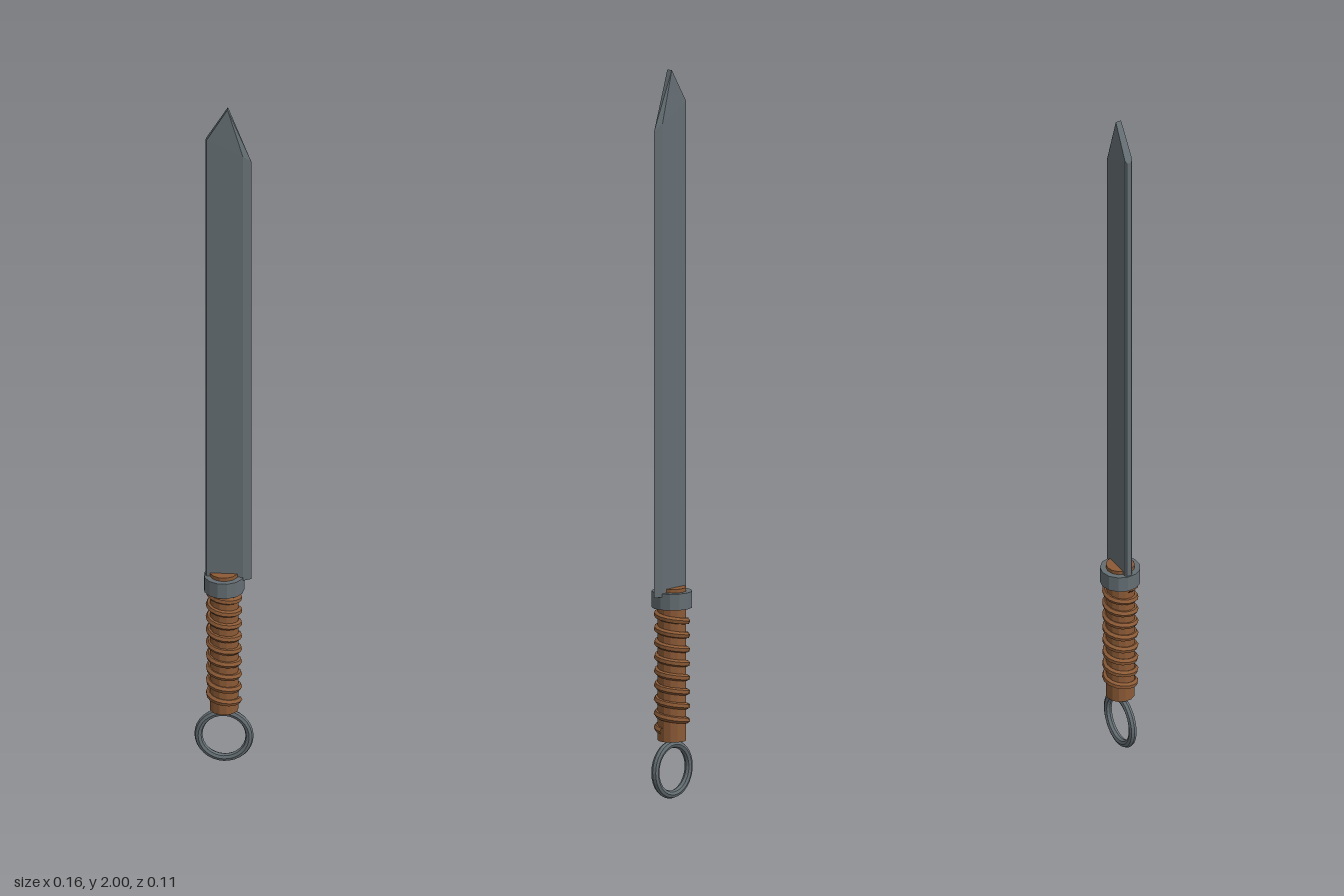
import * as THREE from 'three';
import { ConvexGeometry } from 'three/addons/geometries/ConvexGeometry.js';

export function createModel() {
  const group = new THREE.Group();
  const steel = new THREE.MeshStandardMaterial({ color: 0x646e73, flatShading: true });
  const leather = new THREE.MeshStandardMaterial({ color: 0x8b5a35, flatShading: true });
  const add = (name, geometry, material, y = 0) => {
    const mesh = new THREE.Mesh(geometry, material);
    mesh.name = name;
    mesh.position.y = y;
    group.add(mesh);
    return mesh;
  };

  // Single-edged blade: chamfered spine on -x, ground edge on +x, broad tip
  const bottom = 0.56;
  const points = [];
  const column = (x, top, z) => {
    for (const side of [-1, 1]) {
      points.push(new THREE.Vector3(x, bottom, side * z), new THREE.Vector3(x, top, side * z));
    }
  };
  column(-0.05, 1.9, 0.007);
  column(-0.046, 1.907, 0.011);
  column(0.052, 1.86, 0.011);
  for (const z of [-0.008, 0.008]) points.push(new THREE.Vector3(0.01, 2, z));
  points.push(new THREE.Vector3(0.074, bottom, 0), new THREE.Vector3(0.074, 1.84, 0));
  add('blade', new ConvexGeometry(points), steel);

  // Collar between blade and grip
  add('collar', new THREE.CylinderGeometry(0.055, 0.055, 0.045, 13), steel, 0.5475).rotation.y = Math.PI;

  // Grip core, showing slightly above the collar
  add('grip', new THREE.CylinderGeometry(0.039, 0.039, 0.42, 13), leather, 0.37).rotation.y = Math.PI;

  // Cord wound around the grip in a helix
  class Helix extends THREE.Curve {
    getPoint(t, target = new THREE.Vector3()) {
      const a = t * turns * Math.PI * 2;
      return target.set(Math.cos(a) * 0.04, 0.19 + t * 0.33, Math.sin(a) * 0.04);
    }
  }
  const turns = 8.5;
  add('gripWrap', new THREE.TubeGeometry(new Helix(), 136, 0.0095, 6, false), leather);

  // Ring pommel
  add('pommelRing', new THREE.TorusGeometry(0.069, 0.011, 8, 32), steel, 0.08);

  return group;
}
